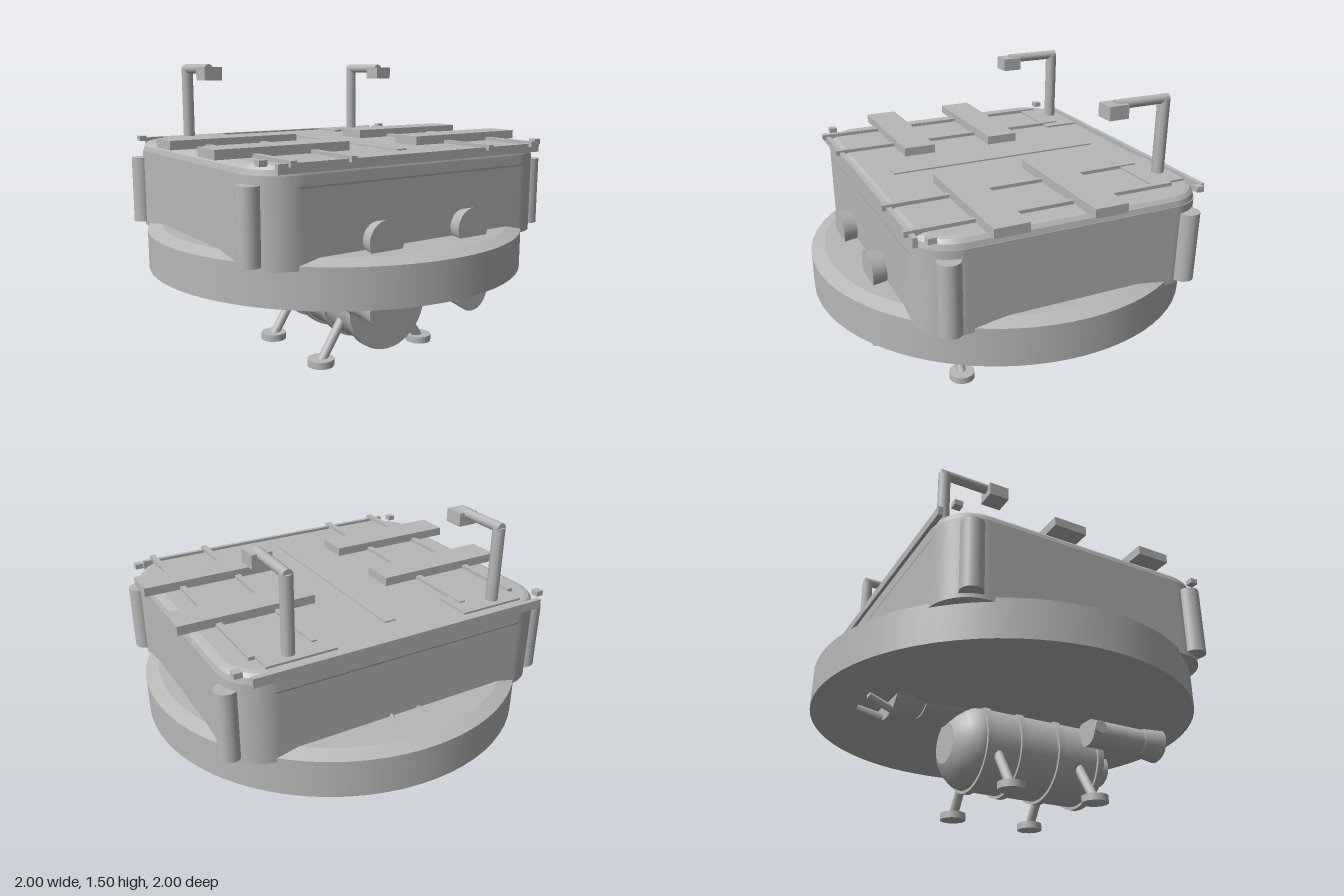
import * as THREE from 'three';

export function createModel() {
  const model = new THREE.Group();
  const grey = new THREE.MeshStandardMaterial({ color: 0xb8b8b8 });
  grey.name = 'hull grey';

  const add = (name, geometry, x = 0, y = 0, z = 0) => {
    const mesh = new THREE.Mesh(geometry, grey);
    mesh.name = name;
    mesh.position.set(x, y, z);
    model.add(mesh);
    return mesh;
  };
  // Box given by its limits on each axis
  const box = (name, x0, x1, y0, y1, z0, z1) =>
    add(name, new THREE.BoxGeometry(Math.abs(x1 - x0), y1 - y0, z1 - z0),
      (x0 + x1) / 2, (y0 + y1) / 2, (z0 + z1) / 2);
  // Round bar or cone between two points
  const bar = (name, a, b, ra, rb = ra, sides = 24) => {
    const p = new THREE.Vector3(...a), q = new THREE.Vector3(...b);
    const dir = q.clone().sub(p);
    const mesh = add(name, new THREE.CylinderGeometry(rb, ra, dir.length(), sides));
    mesh.position.copy(p).add(q).multiplyScalar(0.5);
    mesh.quaternion.setFromUnitVectors(new THREE.Vector3(0, 1, 0), dir.normalize());
    return mesh;
  };
  const roundedRect = (w, d, r) => {
    const s = new THREE.Shape();
    s.absarc(w - r, d - r, r, 0, Math.PI / 2);
    s.absarc(-w + r, d - r, r, Math.PI / 2, Math.PI);
    s.absarc(-w + r, -d + r, r, Math.PI, Math.PI * 1.5);
    s.absarc(w - r, -d + r, r, Math.PI * 1.5, Math.PI * 2);
    s.closePath();
    return s;
  };

  // Round base disc with a chamfered upper rim
  add('baseDisc', new THREE.CylinderGeometry(1, 1, 0.195, 72), 0, 0.5525, 0);
  add('baseDiscChamfer', new THREE.CylinderGeometry(0.93, 1, 0.025, 72), 0, 0.6625, 0);

  // Rounded hull and its bevelled deck
  const hull = new THREE.ExtrudeGeometry(roundedRect(0.865, 0.73, 0.2),
    { depth: 0.41, bevelEnabled: false, curveSegments: 16 });
  add('hull', hull.rotateX(-Math.PI / 2), 0, 0.63, 0);
  const deck = new THREE.ExtrudeGeometry(roundedRect(0.82, 0.69, 0.165), {
    depth: 0.05, bevelThickness: 0.05, bevelSize: 0.042, bevelSegments: 3, curveSegments: 16,
  });
  add('deck', deck.rotateX(-Math.PI / 2), 0, 0.99, 0);
  box('deckCentreStrip', -0.03, 0.03, 1.08, 1.097, -0.575, 0.575);

  // Cross rails at front and back
  box('frontRail', -0.785, 0.785, 1.05, 1.095, 0.717, 0.74);
  box('backRail', -0.785, 0.785, 1.05, 1.095, -0.747, -0.723);

  for (const s of [-1, 1]) {
    // Deck rails and planks
    for (const x of [0.415, 0.72])
      box('deckRail', s * (x - 0.015), s * (x + 0.015), 1.08, 1.107, -0.59, 0.76);
    for (const z of [-0.135, 0.35])
      box('plank', s * 0.21, s * 0.92, 1.09, 1.135, z - 0.085, z + 0.085);

    // Corner posts and small corner blocks
    for (const t of [-1, 1]) {
      bar('cornerPost', [s * 0.855, 0.65, t * 0.61], [s * 0.855, 1, t * 0.61], 0.055);
      box('cornerBlock', s * 0.807, s * 0.847, 1.083, 1.11, t * 0.675 - 0.02, t * 0.675 + 0.02);
    }

    // Mast with overhanging lamp
    box('mastPlate', s * 0.35, s * 0.7, 1.08, 1.1, -0.69, -0.5);
    bar('mast', [s * 0.565, 1.09, -0.63], [s * 0.565, 1.475, -0.63], 0.031, 0.031, 10);
    bar('mastArm', [s * 0.565, 1.475, -0.65], [s * 0.565, 1.475, -0.35], 0.025, 0.025, 10);
    box('mastLamp', s * 0.515, s * 0.615, 1.415, 1.483, -0.4, -0.295);

    // Flared front lamps
    bar('frontLamp', [s * 0.265, 0.72, 0.72], [s * 0.265, 0.72, 0.805], 0.078, 0.098, 32);

    // Thrusters slung beside the tank
    bar('thrusterNozzle', [s * 0.265, 0.4, 0.69], [s * 0.265, 0.4, 0.81], 0.08, 0.098, 32);
    bar('thrusterBody', [s * 0.265, 0.395, 0.36], [s * 0.265, 0.395, 0.7], 0.075);
    bar('thrusterPin', [s * 0.2, 0.405, 0.395], [s * 0.35, 0.405, 0.395], 0.035);

    // Splayed legs with round feet
    for (const z of [0.35, -0.125]) {
      bar('leg', [s * 0.325, 0.012, z], [s * 0.19, 0.22, z], 0.025, 0.025, 12);
      bar('foot', [s * 0.322, 0, z], [s * 0.322, 0.036, z], 0.068, 0.068);
    }
  }

  // Tank with domed back end; profile is radius against distance backwards
  const profile = [[0, -0.48], [0.225, -0.48], [0.225, -0.48], [0.225, 0.2], [0.217, 0.235],
    [0.19, 0.275], [0.15, 0.31], [0.105, 0.33], [0.105, 0.33], [0, 0.33]];
  const tank = new THREE.LatheGeometry(profile.map(([r, h]) => new THREE.Vector2(r, h)), 48);
  add('tank', tank.rotateX(-Math.PI / 2), 0, 0.3, 0);
  for (const z of [0.465, 0.225, 0.005, -0.185])
    bar('tankBand', [0, 0.3, z - 0.018], [0, 0.3, z + 0.018], 0.24, 0.24, 48);

  // Rear grab: tapered neck, collar and converging fingers
  bar('grabNeck', [0, 0.56, -0.26], [0, 0.55, -0.48], 0.175, 0.135, 32);
  bar('grabWrist', [0, 0.55, -0.48], [0, 0.55, -0.57], 0.135, 0.16, 32);
  bar('grabCollar', [0, 0.54, -0.565], [0, 0.54, -0.65], 0.165, 0.165, 32);
  for (const sx of [-1, 1])
    for (const sy of [-1, 1])
      bar('grabFinger', [sx * 0.06, 0.545 + sy * 0.145, -0.64],
        [sx * 0.085, 0.55 + sy * 0.11, -0.775], 0.022, 0.018, 4);

  return model;
}
